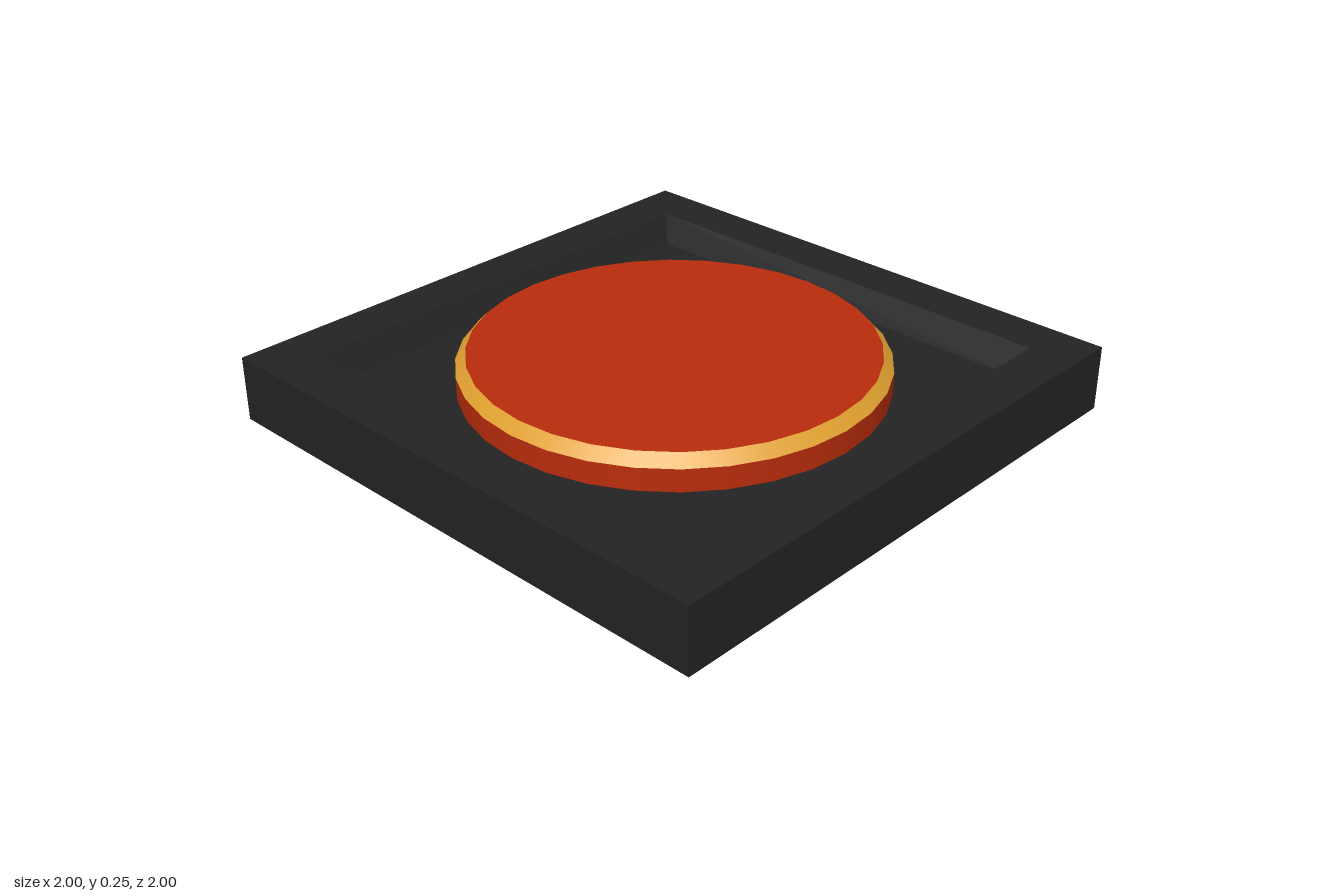
import * as THREE from 'three';

const SEGMENTS = 32;
const FLOOR = 0.138, RIM = 0.23, BEVEL = 0.217, TOP = 0.255;

export function createModel() {
  const housingBlack = new THREE.MeshStandardMaterial({ color: 0x232323 });
  const buttonRed = new THREE.MeshStandardMaterial({ color: 0xb82c0c });
  const trimGold = new THREE.MeshStandardMaterial({ color: 0xe0a030 });
  const model = new THREE.Group();
  model.name = 'pushButton';

  const add = (name, geometry, material, y = 0) => {
    const mesh = new THREE.Mesh(geometry, material);
    mesh.name = name;
    mesh.position.y = y;
    model.add(mesh);
  };

  // Square housing: half-width and height, from the underside round to the recessed floor
  const profile = [
    [0, 0], [1, 0], [1, RIM], [0.83, RIM], [0.775, FLOOR], [0, FLOOR],
  ].map(([halfWidth, y]) => new THREE.Vector2(halfWidth * Math.SQRT2, y));
  const housing = new THREE.LatheGeometry(profile, 4, Math.PI / 4).toNonIndexed();
  housing.computeVertexNormals();
  add('housing', housing, housingBlack);

  // Round button: red side wall, gold bevelled trim, red cap
  const band = (topRadius, bottomRadius, y0, y1) =>
    new THREE.CylinderGeometry(topRadius, bottomRadius, y1 - y0, SEGMENTS, 1, true)
      .translate(0, (y0 + y1) / 2, 0);
  add('buttonSide', band(0.72, 0.72, FLOOR, BEVEL), buttonRed);
  add('bevelTrim', band(0.685, 0.72, BEVEL, TOP), trimGold);
  add('buttonCap', new THREE.CircleGeometry(0.685, SEGMENTS).rotateX(-Math.PI / 2), buttonRed, TOP);

  return model;
}
